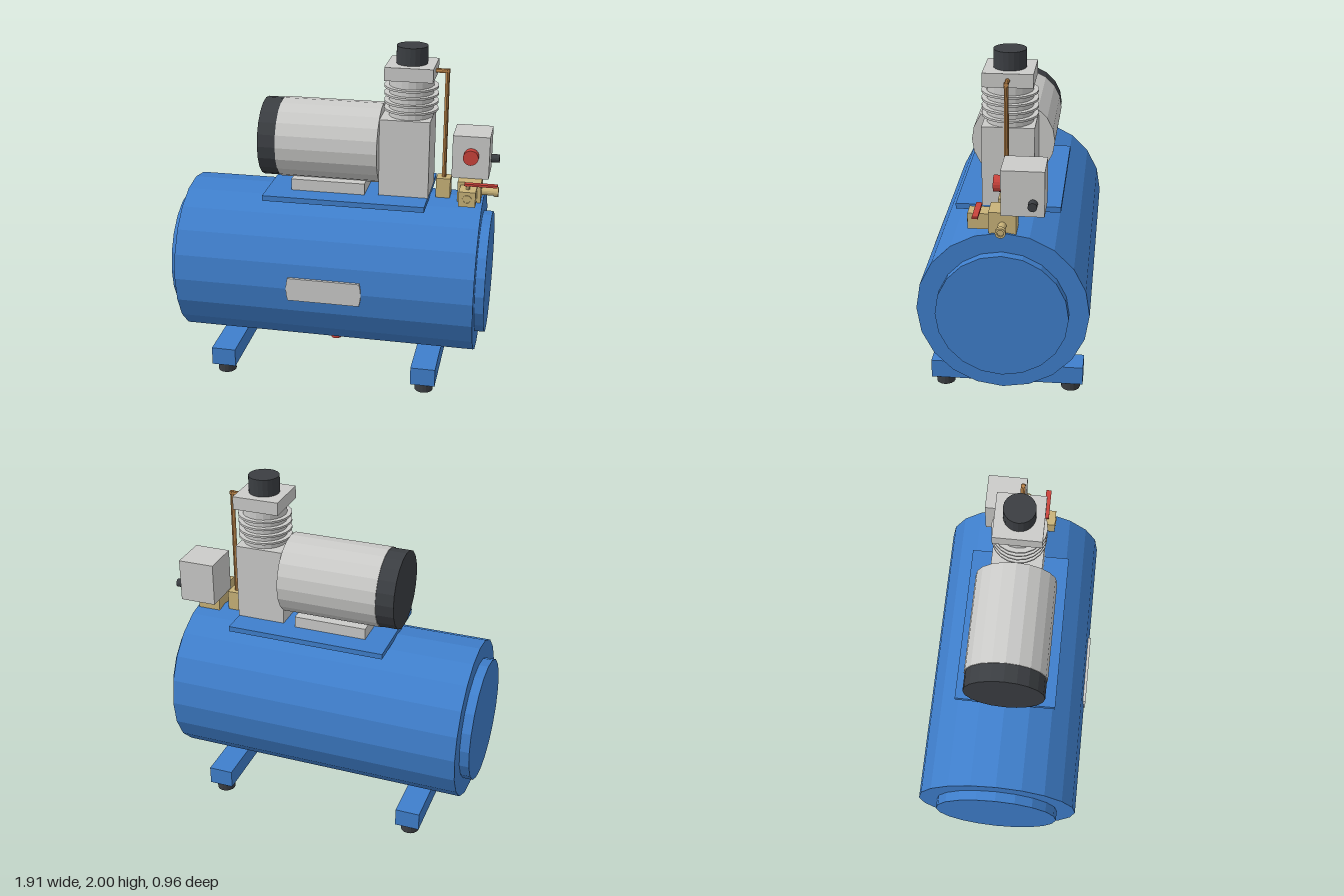
import * as THREE from 'three';

const mat = (name, color) => {
  const m = new THREE.MeshStandardMaterial({ color, flatShading: true });
  m.name = name;
  return m;
};

export function createModel() {
  const blue = mat('blue paint', 0x3f7fcc);
  const grey = mat('light grey metal', 0xcbcbc9);
  const dark = mat('dark rubber', 0x3b3e42);
  const brass = mat('brass', 0xc9b379);
  const copper = mat('copper', 0xb98349);
  const red = mat('red', 0xc9423b);

  const root = new THREE.Group();
  root.name = 'airCompressor';

  const add = (name, geo, material, x = 0, y = 0, z = 0) => {
    const mesh = new THREE.Mesh(geo, material);
    mesh.name = name;
    mesh.position.set(x, y, z);
    root.add(mesh);
    return mesh;
  };
  // Box from its minimum and maximum on each axis
  const box = (name, material, [x0, x1], [y0, y1], [z0, z1]) =>
    add(name, new THREE.BoxGeometry(x1 - x0, y1 - y0, z1 - z0), material,
      (x0 + x1) / 2, (y0 + y1) / 2, (z0 + z1) / 2);
  // Cylinder along an axis, spanning a to b; u and v are the other two coordinates in x, y, z order
  const cyl = (name, material, axis, a, b, u, v, r, sides = 20) => {
    const geo = new THREE.CylinderGeometry(r, r, b - a, sides);
    const m = (a + b) / 2;
    if (axis === 'x') return add(name, geo.rotateZ(-Math.PI / 2), material, m, u, v);
    if (axis === 'z') return add(name, geo.rotateX(Math.PI / 2), material, u, v, m);
    return add(name, geo, material, u, m, v);
  };
  // Open-ended port along +x with a blind bore
  const port = (name, material, r, bore, length, depth) => {
    const points = [[0, 0], [r, 0], [r, length], [bore, length], [bore, length - depth], [0, length - depth]];
    return add(name, new THREE.LatheGeometry(points.map(p => new THREE.Vector2(...p)), 14), material);
  };

  // Tank with stepped ends
  cyl('tank', blue, 'x', -0.9, 0.87, 0.632, 0, 0.478);
  cyl('leftEndCap', blue, 'x', 0.87, 0.925, 0.632, 0, 0.367);
  cyl('rightEndCap', blue, 'x', -0.957, -0.9, 0.632, 0, 0.367);

  // Cross bars and rubber feet
  for (const x of [-0.627, 0.593]) {
    box('footBar', blue, [x - 0.073, x + 0.073], [0.06, 0.17], [-0.443, 0.443]);
    for (const z of [-0.37, 0.37]) cyl('rubberFoot', dark, 'y', 0, 0.06, x, z, 0.055, 16);
  }

  // Drain under the tank
  cyl('drainStem', brass, 'y', 0.115, 0.17, -0.016, 0, 0.024, 12);
  cyl('drainKnob', red, 'y', 0.092, 0.12, -0.016, 0, 0.032, 12);

  // Name plate with slightly bowed ends
  const plate = new THREE.Shape();
  plate.moveTo(-0.212, -0.07);
  plate.lineTo(0.212, -0.07);
  plate.quadraticCurveTo(0.232, 0, 0.212, 0.07);
  plate.lineTo(-0.212, 0.07);
  plate.quadraticCurveTo(-0.232, 0, -0.212, -0.07);
  add('namePlate', new THREE.ExtrudeGeometry(plate, { depth: 0.018, bevelEnabled: false, curveSegments: 4 }),
    grey, 0.003, 0.632, 0.466);

  // Base plate and motor
  box('basePlate', blue, [-0.4, 0.555], [1.1, 1.132], [-0.295, 0.295]);
  box('motorFoot', grey, [-0.254, 0.185], [1.13, 1.2], [-0.165, 0.165]);
  cyl('motorBody', grey, 'x', -0.333, 0.266, 1.41, 0, 0.238);
  cyl('motorFanCover', dark, 'x', -0.44, -0.333, 1.41, 0, 0.233);

  // Pump: crankcase, finned cylinder, head and air filter
  const px = 0.427;
  box('crankcase', grey, [0.265, 0.557], [1.13, 1.592], [-0.146, 0.146]);
  cyl('pumpCylinder', grey, 'y', 1.59, 1.83, px, 0, 0.13);
  for (const y of [1.633, 1.677, 1.722, 1.766]) cyl('coolingFin', grey, 'y', y - 0.006, y + 0.006, px, 0, 0.158);
  box('cylinderHead', grey, [px - 0.139, px + 0.139], [1.82, 1.898], [-0.139, 0.139]);
  cyl('airFilter', dark, 'y', 1.898, 2, px, 0, 0.091);

  // Discharge pipe into the check valve
  cyl('dischargePipeTop', copper, 'x', 0.56, 0.645, 1.86, 0, 0.013, 10);
  cyl('dischargePipeDrop', copper, 'y', 1.21, 1.872, 0.632, 0, 0.013, 10);
  box('checkValve', brass, [0.59, 0.674], [1.1, 1.222], [-0.042, 0.042]);

  // Manifold with its side outlet
  box('manifold', brass, [0.72, 0.857], [1.1, 1.222], [-0.075, 0.075]);
  cyl('outletStem', brass, 'x', 0.855, 0.93, 1.147, 0, 0.023, 14);
  const outlet = port('outletCollar', brass, 0.029, 0.018, 0.027, 0.012);
  outlet.rotation.z = -Math.PI / 2;
  outlet.position.set(0.928, 1.147, 0);

  // Ball valve with lever
  box('ballValve', brass, [0.738, 0.835], [1.113, 1.203], [0.07, 0.19]);
  const mouth = port('valveMouth', brass, 0.027, 0.02, 0.006, 0.004);
  mouth.rotation.x = Math.PI / 2;
  mouth.position.set(0.787, 1.158, 0.189);
  cyl('valveStem', brass, 'y', 1.2, 1.228, 0.787, 0.133, 0.012, 10);
  box('valveLever', red, [0.765, 0.955], [1.225, 1.238], [0.117, 0.149]);

  // Pressure switch with knob and plug
  box('switchBox', grey, [0.676, 0.893], [1.222, 1.478], [-0.228, 0.005]);
  cyl('switchKnob', red, 'z', 0, 0.052, 0.787, 1.362, 0.045, 18);
  cyl('switchPlug', dark, 'x', 0.89, 0.943, 1.297, -0.167, 0.025, 14);

  return root;
}
